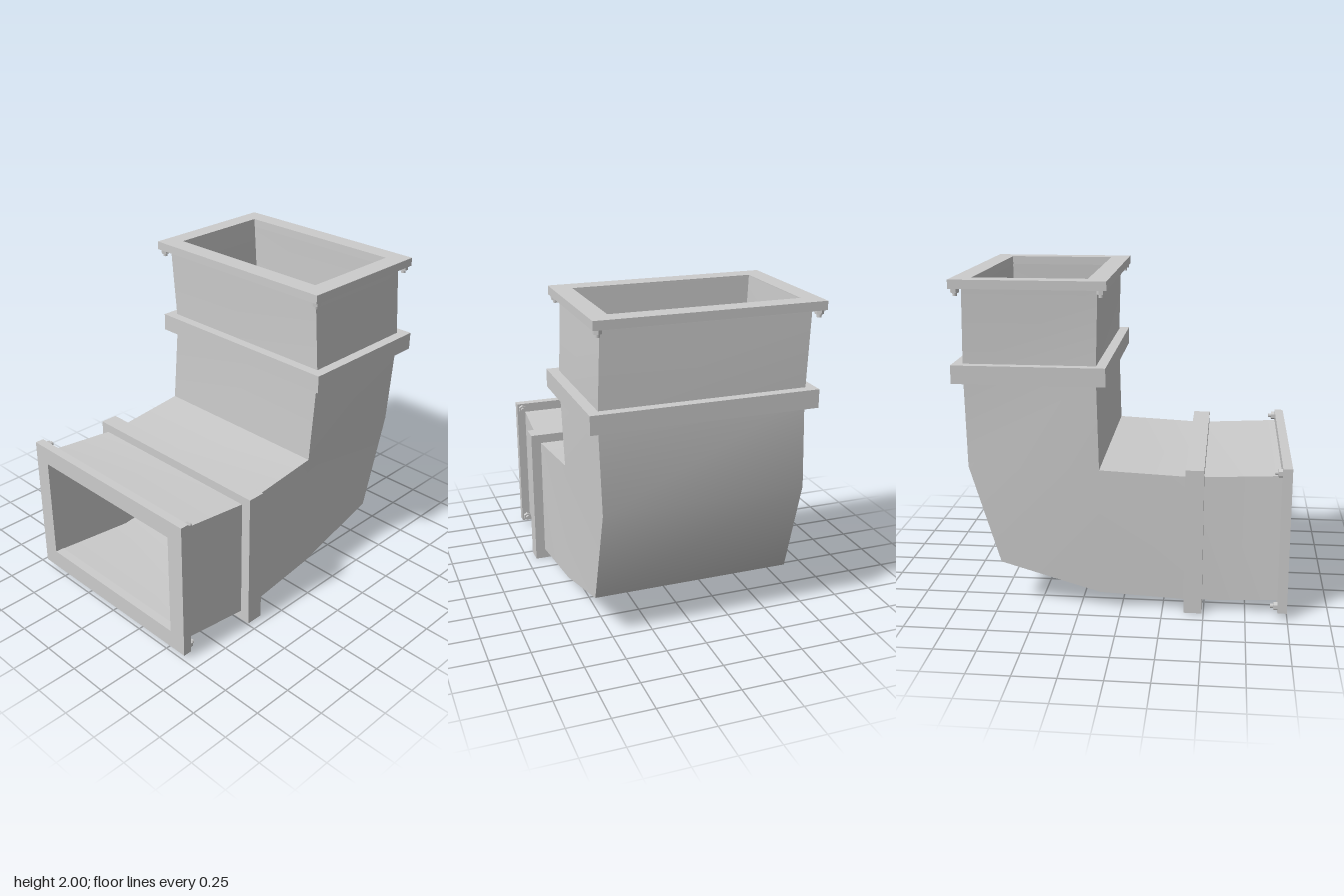
import * as THREE from 'three';
import { toCreasedNormals } from 'three/addons/utils/BufferGeometryUtils.js';

const material = new THREE.MeshStandardMaterial({ color: 0xcccccc });

function addMesh(parent, name, geometry) {
  const mesh = new THREE.Mesh(geometry, material);
  mesh.name = name;
  parent.add(mesh);
  return mesh;
}

// Rectangular duct through sections [xMin, xMax, outer z, outer y, inner z, inner y]
function ductGeometry(sections, inward) {
  const rings = sections.map(([x0, x1, oz, oy, iz, iy]) => [
    new THREE.Vector3(x0, oy, oz), new THREE.Vector3(x1, oy, oz),
    new THREE.Vector3(x1, iy, iz), new THREE.Vector3(x0, iy, iz),
  ]);
  const pos = [];
  const tri = (a, b, c) => {
    if (a.equals(b) || b.equals(c) || a.equals(c)) return; // collapsed at the inner corner
    for (const p of inward ? [a, c, b] : [a, b, c]) pos.push(p.x, p.y, p.z);
  };
  for (let i = 0; i < rings.length - 1; i++) {
    for (let k = 0; k < 4; k++) {
      const n = (k + 1) % 4;
      const [a, b, c, d] = [rings[i][k], rings[i][n], rings[i + 1][n], rings[i + 1][k]];
      tri(a, d, b);
      tri(b, d, c);
    }
  }
  const geometry = new THREE.BufferGeometry();
  geometry.setAttribute('position', new THREE.Float32BufferAttribute(pos, 3));
  return toCreasedNormals(geometry, 1.1);
}

// Rectangular ring, both rectangles given as [x0, x1, y0, y1]
function frameGeometry([x0, x1, y0, y1], [hx0, hx1, hy0, hy1], depth) {
  const shape = new THREE.Shape([
    new THREE.Vector2(x0, y0), new THREE.Vector2(x1, y0),
    new THREE.Vector2(x1, y1), new THREE.Vector2(x0, y1),
  ]);
  shape.holes.push(new THREE.Path([
    new THREE.Vector2(hx0, hy0), new THREE.Vector2(hx0, hy1),
    new THREE.Vector2(hx1, hy1), new THREE.Vector2(hx1, hy0),
  ]));
  return new THREE.ExtrudeGeometry(shape, { depth, bevelEnabled: false });
}

// One duct end, built facing +z: collar, flange and corner bolts
function ductEnd(name, e) {
  const group = new THREE.Group();
  group.name = name;
  addMesh(group, 'collar', frameGeometry(e.collar, e.collarHole, 0.11)).position.z = e.collarZ;
  addMesh(group, 'flange', frameGeometry(e.flange, e.opening, e.thickness)).position.z = e.flangeZ;
  const [x0, x1, y0, y1] = e.flange;
  for (const x of [x0 + 0.033, x1 - 0.033]) {
    for (const y of [y0 + 0.033, y1 - 0.033]) {
      const nut = new THREE.CylinderGeometry(0.026, 0.026, 0.026, 6).toNonIndexed();
      nut.computeVertexNormals();
      const bolt = new THREE.CylinderGeometry(0.014, 0.014, 0.045, 10);
      for (const [part, geometry, z] of [['nut', nut, 0.012], ['bolt', bolt, 0.021]]) {
        const mesh = addMesh(group, part, geometry);
        mesh.rotation.x = Math.PI / 2;
        mesh.position.set(x, y, e.flangeZ - z);
      }
    }
  }
  return group;
}

export function createModel() {
  const model = new THREE.Group();
  model.name = 'ductElbow';

  // Outer skin, from the front mouth round the bend to the top mouth
  addMesh(model, 'outerDuct', ductGeometry([
    [-0.63, 0.6, 0.95, 0.095, 0.95, 0.88],
    [-0.6, 0.63, 0.43, 0.06, 0.43, 0.845],
    [-0.63, 0.6, -0.13, 0.1, -0.13, 0.88],
    [-0.63, 0.6, -0.735, 0.275, -0.13, 0.88],
    [-0.63, 0.6, -0.915, 0.88, -0.13, 0.88],
    [-0.6, 0.625, -0.932, 1.445, -0.148, 1.445],
    [-0.63, 0.6, -0.912, 1.955, -0.13, 1.955],
  ], false));

  // Inner lining
  addMesh(model, 'innerDuct', ductGeometry([
    [-0.58, 0.54, 0.995, 0.155, 0.995, 0.825],
    [-0.55, 0.575, 0.43, 0.12, 0.43, 0.79],
    [-0.58, 0.54, -0.13, 0.155, -0.185, 0.825],
    [-0.58, 0.54, -0.69, 0.32, -0.185, 0.825],
    [-0.58, 0.54, -0.86, 0.88, -0.185, 0.825],
    [-0.55, 0.57, -0.875, 1.445, -0.205, 1.445],
    [-0.58, 0.54, -0.86, 1.995, -0.19, 1.995],
  ], true));

  model.add(ductEnd('frontEnd', {
    collar: [-0.66, 0.69, 0, 0.905], collarHole: [-0.58, 0.6, 0.085, 0.82], collarZ: 0.38,
    flange: [-0.69, 0.655, 0.037, 0.94], opening: [-0.58, 0.54, 0.155, 0.825],
    flangeZ: 0.942, thickness: 0.056,
  }));

  // Top end: local y runs towards the back once turned upright
  const top = ductEnd('topEnd', {
    collar: [-0.66, 0.685, 0.085, 0.99], collarHole: [-0.58, 0.6, 0.175, 0.905], collarZ: 1.39,
    flange: [-0.69, 0.655, 0.072, 0.975], opening: [-0.58, 0.54, 0.19, 0.86],
    flangeZ: 1.948, thickness: 0.052,
  });
  top.rotation.x = -Math.PI / 2;
  model.add(top);

  return model;
}
